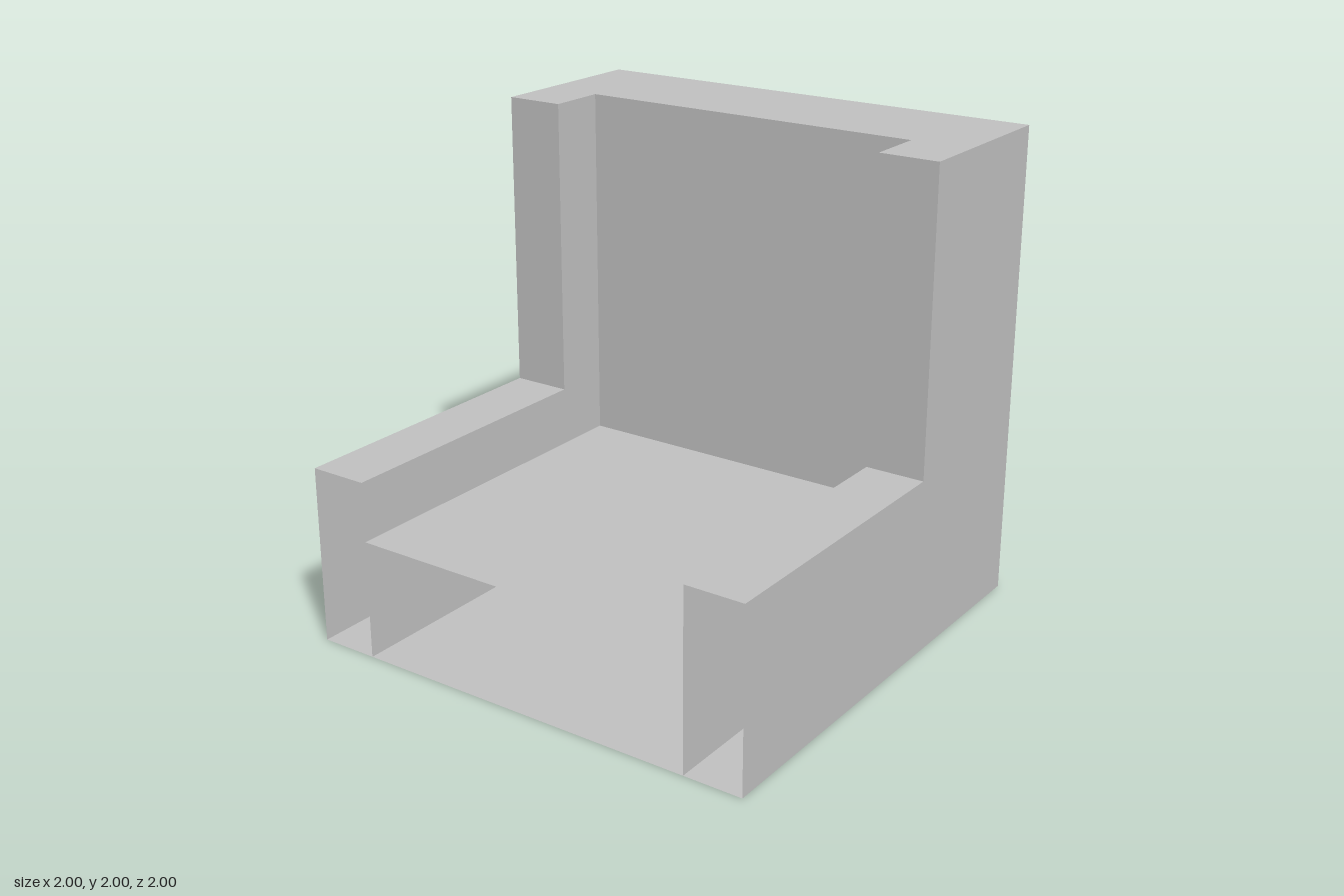
import * as THREE from 'three';

export function createModel() {
  const model = new THREE.Group();
  model.name = 'armchair';

  const grey = new THREE.MeshStandardMaterial({ color: 0xc0c0c0, side: THREE.DoubleSide });
  grey.name = 'grey';

  // Box spanning two corners; keeps only the listed faces (0 +x, 1 -x, 2 +y, 3 -y, 4 +z, 5 -z)
  function addBox(name, [x0, y0, z0], [x1, y1, z1], faces = [0, 1, 2, 3, 4, 5]) {
    const geometry = new THREE.BoxGeometry(x1 - x0, y1 - y0, z1 - z0);
    const index = Array.from(geometry.index.array);
    geometry.setIndex(faces.flatMap((f) => index.slice(f * 6, f * 6 + 6)));
    geometry.clearGroups();
    geometry.translate((x0 + x1) / 2, (y0 + y1) / 2, (z0 + z1) / 2);
    const mesh = new THREE.Mesh(geometry, grey);
    mesh.name = name;
    model.add(mesh);
  }

  // Seat and floor sheets, open at the front between the arms
  addBox('seat', [-0.75, 0, -0.5], [0.75, 0.5, 1], [2, 3]);

  // Backrest panel reaching down to the floor
  addBox('backrest', [-0.75, 0, -1], [0.75, 2, -0.5], [2, 3, 4, 5]);

  // Hollow arms, open at the front, and the tall wings behind them
  for (const [side, x] of [['left', 0.75], ['right', -1]]) {
    addBox(side + 'Arm', [x, 0, -0.25], [x + 0.25, 0.75, 1], [0, 1, 2, 3]);
    addBox(side + 'Wing', [x, 0, -1], [x + 0.25, 2, -0.25]);
  }

  return model;
}
